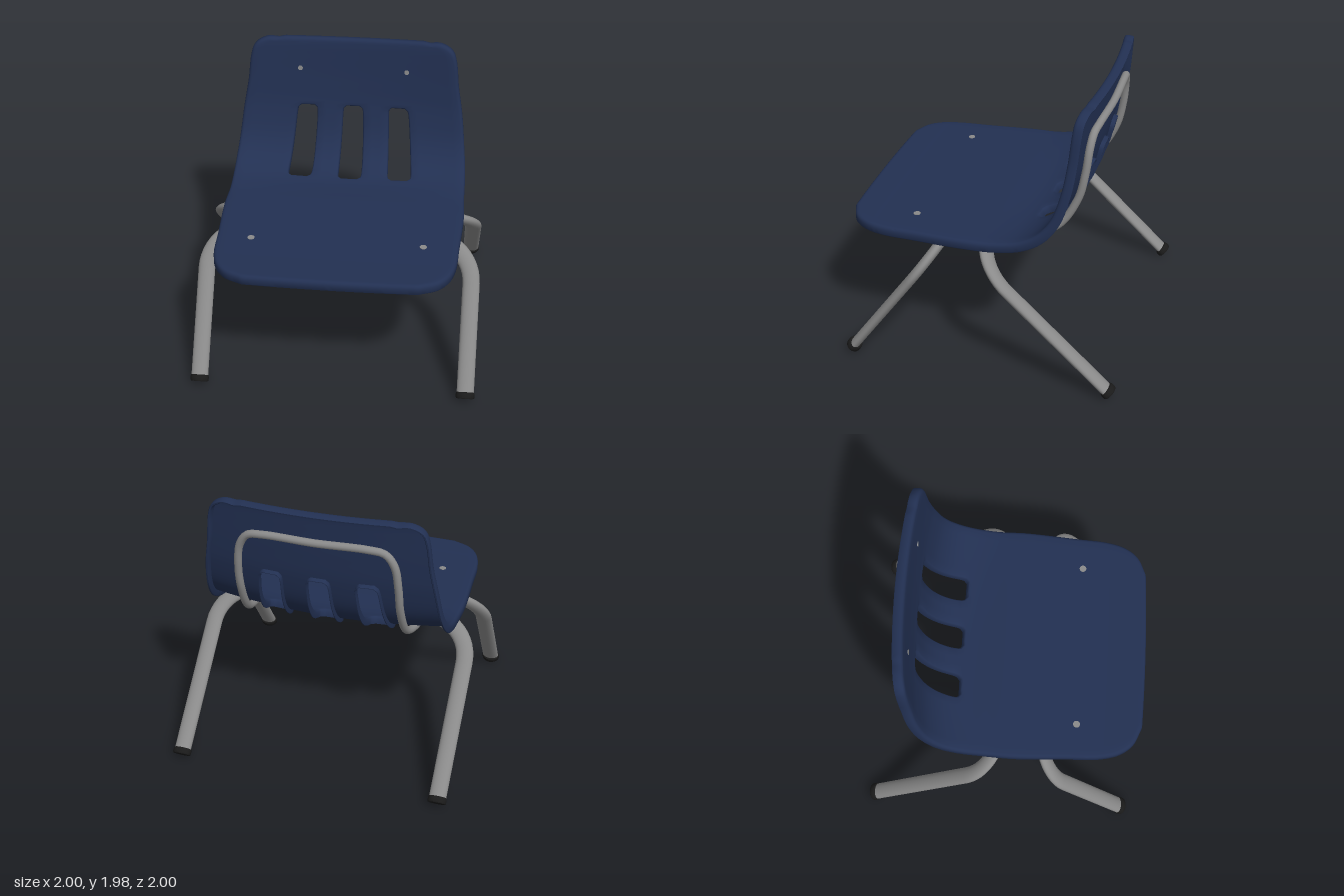
import * as THREE from 'three';
import { mergeGeometries, mergeVertices, toCreasedNormals } from 'three/addons/utils/BufferGeometryUtils.js';

const V = (x, y, z) => new THREE.Vector3(x, y, z);
const mat = (name, color) => new THREE.MeshStandardMaterial({ name, color });

// Surface through rows of points; skip(k, m) leaves cells open
function loft(rows, { skip = () => false, flip = false } = {}) {
  const n = rows[0].length, index = [];
  for (let k = 0; k < rows.length - 1; k++) {
    for (let m = 0; m < n - 1; m++) {
      if (skip(k, m)) continue;
      const a = k * n + m, b = a + 1, d = a + n, c = d + 1;
      index.push(...(flip ? [a, c, b, a, d, c] : [a, b, c, a, c, d]));
    }
  }
  const geo = new THREE.BufferGeometry().setFromPoints(rows.flat());
  geo.setIndex(index);
  return geo;
}

function smooth(geos, crease) {
  const geo = mergeVertices(mergeGeometries(geos), 1e-4);
  if (crease) return toCreasedNormals(geo, crease);
  geo.computeVertexNormals();
  return geo;
}

// Shell edge line: x = half width, running from seat front to back top
const edge = new THREE.CatmullRomCurve3([
  [.58, 1.0, .975], [.70, 1.0, .92], [.765, 1.0, .83], [.80, 1.0, .7], [.815, 1.005, .45],
  [.835, 1.015, .1], [.83, 1.025, -.12], [.83, 1.06, -.28], [.825, 1.13, -.4], [.81, 1.25, -.49],
  [.785, 1.45, -.55], [.75, 1.65, -.575], [.725, 1.85, -.59], [.70, 1.92, -.595],
  [.64, 1.96, -.6], [.5, 1.975, -.603],
].map((p) => V(...p)));
edge.arcLengthDivisions = 600;
const ROWS = 120;
const line = edge.getSpacedPoints(ROWS);
const normals = line.map((p, i) => {
  const a = line[Math.max(0, i - 1)], b = line[Math.min(ROWS, i + 1)];
  return V(0, a.z - b.z, b.y - a.y).normalize();
});

// Point on the shell at row i and sideways x, sunk by depth
function shellPoint(i, x, depth = 0) {
  const p = line[i];
  const dip = .06 * THREE.MathUtils.smoothstep(-p.z, 0, .45) * (1 - (x / .8) ** 2);
  const bow = .04 * x * x * Math.max(0, p.z) ** 4;
  return V(x, p.y, p.z - bow).addScaledVector(normals[i], -dip - depth);
}
const rowAtZ = (z) => line.findIndex((p) => p.z <= z);
const rowAtY = (y) => line.findIndex((p) => p.z < -.3 && p.y >= y);

// Seat and back shell with three slots and a turned lip on every edge
function shellGeometry() {
  const i0 = rowAtZ(-.27), i1 = rowAtY(1.48);
  const parts = [7, 4, 3, 4, 3, 4, 7], starts = [0];
  parts.forEach((n) => starts.push(starts.at(-1) + n));
  const cols = starts.at(-1);
  const xs = line.map((p, i) => {
    const u = THREE.MathUtils.clamp((i - i0) / (i1 - i0), 0, 1);
    const half = (.1 - .015 * u) * (.6 + .4 * Math.sqrt(1 - Math.abs(2 * u - 1) ** 10));
    const breaks = [-p.x];
    for (const c of [-.372, 0, .372]) breaks.push(c * (1 - .1 * u) - half, c * (1 - .1 * u) + half);
    breaks.push(p.x);
    const row = [];
    parts.forEach((n, s) => {
      for (let k = 0; k < n; k++) row.push(THREE.MathUtils.lerp(breaks[s], breaks[s + 1], k / n));
    });
    return [...row, p.x];
  });
  const sheet = (depth) => xs.map((row, i) => row.map((x) => shellPoint(i, x, depth)));
  const skip = (i, j) => i >= i0 && i < i1 && [1, 3, 5].some((s) => j >= starts[s] && j < starts[s + 1]);
  const thick = .025;
  const geos = [loft(sheet(0), { skip }), loft(sheet(thick), { skip, flip: true })];

  // Closed run of grid cells around a rectangle of the sheet
  const rectLoop = (ia, ib, ja, jb) => {
    const loop = [];
    for (let j = ja; j < jb; j++) loop.push([ia, j]);
    for (let i = ia; i < ib; i++) loop.push([i, jb]);
    for (let j = jb; j > ja; j--) loop.push([ib, j]);
    for (let i = ib; i > ia; i--) loop.push([i, ja]);
    return loop;
  };
  const lip = (loop, bulge, drop) => {
    const pts = loop.map(([i, j]) => shellPoint(i, xs[i][j]));
    const profile = [[0, 0], [.5 * bulge, .003], [.85 * bulge, .011], [bulge, .025], [bulge, drop - .008],
      [.8 * bulge, drop], [.4 * bulge, drop], [.15 * bulge, drop - .008], [0, thick]];
    const n = pts.length;
    const rings = pts.map((p, k) => {
      const N = normals[loop[k][0]];
      const T = pts[(k + 1) % n].clone().sub(p).normalize()
        .add(p.clone().sub(pts[(k + n - 1) % n]).normalize());
      const out = T.cross(N).normalize();
      return profile.map(([o, d]) => p.clone().addScaledVector(out, o).addScaledVector(N, -d));
    });
    geos.push(loft([...rings, rings[0]]));
  };
  lip(rectLoop(0, ROWS, 0, cols), .025, .068);
  for (const s of [1, 3, 5]) lip(rectLoop(i0, i1, starts[s], starts[s + 1]).reverse(), .012, .055);
  return smooth(geos, .8);
}

// Oval ring: n across the leg plane, b out of it
const oval = (p, n, b, rn, rb, sides = 20) => Array.from({ length: sides + 1 }, (_, k) => {
  const a = (k % sides) / sides * Math.PI * 2;
  return p.clone().addScaledVector(n, rn * Math.cos(a)).addScaledVector(b, rb * Math.sin(a));
});

// One bent oval tube making a left and right leg, with its two feet
function legPair(name, bar, foot, steel, rubber) {
  const group = new THREE.Group();
  group.name = name;
  const dir = foot.clone().sub(bar), length = dir.length();
  dir.normalize();
  const X = V(1, 0, 0), b = X.clone().cross(dir);
  const at = (x, q) => bar.clone().addScaledVector(X, x).addScaledVector(dir, q);
  const half = [at(.935, length - .01), at(.935, length * .6)];
  for (let k = 0; k <= 12; k++) {
    const a = k / 12 * Math.PI / 2;
    half.push(at(.64 + .295 * Math.cos(a), .3 - .3 * Math.sin(a)));
  }
  const path = [...half, ...half.map((p) => V(-p.x, p.y, p.z)).reverse()];
  const rings = path.map((p, k) => {
    const D = path[Math.min(k + 1, path.length - 1)].clone().sub(path[Math.max(k - 1, 0)]).normalize();
    return oval(p, b.clone().cross(D), b, .06, .035);
  });
  const tube = new THREE.Mesh(smooth([loft(rings)]), steel);
  tube.name = 'legTube';
  group.add(tube);

  const n = b.clone().cross(dir);
  for (const side of [1, -1]) {
    const sections = [[.05, .05, .025], [.042, .062, .047], [.03, .065, .052], [.006, .065, .052],
      [0, .06, .047], [0, 0, 0]];
    const geo = loft(sections.map(([up, rn, rb]) => oval(at(.935 * side, length - up), n, b, rn, rb)));
    const cap = new THREE.Mesh(smooth([geo], .7), rubber);
    cap.name = side > 0 ? 'leftFoot' : 'rightFoot';
    group.add(cap);
  }
  return group;
}

export function createModel() {
  const model = new THREE.Group();
  model.name = 'chair';
  const plastic = mat('navyPlastic', 0x223052);
  const steel = mat('greySteel', 0x8a8a8a);
  const rubber = mat('blackRubber', 0x1a1a1a);
  const add = (name, geo, material) => {
    const mesh = new THREE.Mesh(geo, material);
    mesh.name = name;
    model.add(mesh);
    return mesh;
  };

  add('seatShell', shellGeometry(), plastic);
  model.add(legPair('frontLegs', V(0, .925, .283), V(0, .03, .92), steel, rubber));
  model.add(legPair('rearLegs', V(0, .925, -.015), V(0, .037, -.964), steel, rubber));

  // Support rail under the seat and up around the back
  const half = [
    [.6, rowAtZ(.64), .05], [.6, rowAtZ(.2), .05], [.59, rowAtZ(-.2), .055], [.57, rowAtZ(-.4), .065],
    [.56, rowAtY(1.3), .065], [.555, rowAtY(1.5), .065], [.53, rowAtY(1.66), .062],
    [.47, rowAtY(1.74), .06], [.36, rowAtY(1.765), .06],
  ].map(([x, i, d]) => shellPoint(i, x, d));
  const middle = shellPoint(rowAtY(1.765), 0, .06);
  const rail = new THREE.CatmullRomCurve3([...half, middle, ...half.map((p) => V(-p.x, p.y, p.z)).reverse()]);
  add('supportRail', new THREE.TubeGeometry(rail, 140, .027, 12), steel);

  // Rail ends and screw heads
  for (const side of [1, -1]) {
    const end = add('railEnd', new THREE.SphereGeometry(.027, 12, 8), steel);
    end.position.set(half[0].x * side, half[0].y, half[0].z);
    for (const [name, x, i, r] of [['seatScrew', .595, rowAtZ(.53), .025], ['backScrew', .39, rowAtY(1.75), .018]]) {
      const screw = add(name, new THREE.CylinderGeometry(r, r, .008, 12), steel);
      screw.position.copy(shellPoint(i, x * side));
      screw.quaternion.setFromUnitVectors(V(0, 1, 0), normals[i]);
    }
  }
  return model;
}
